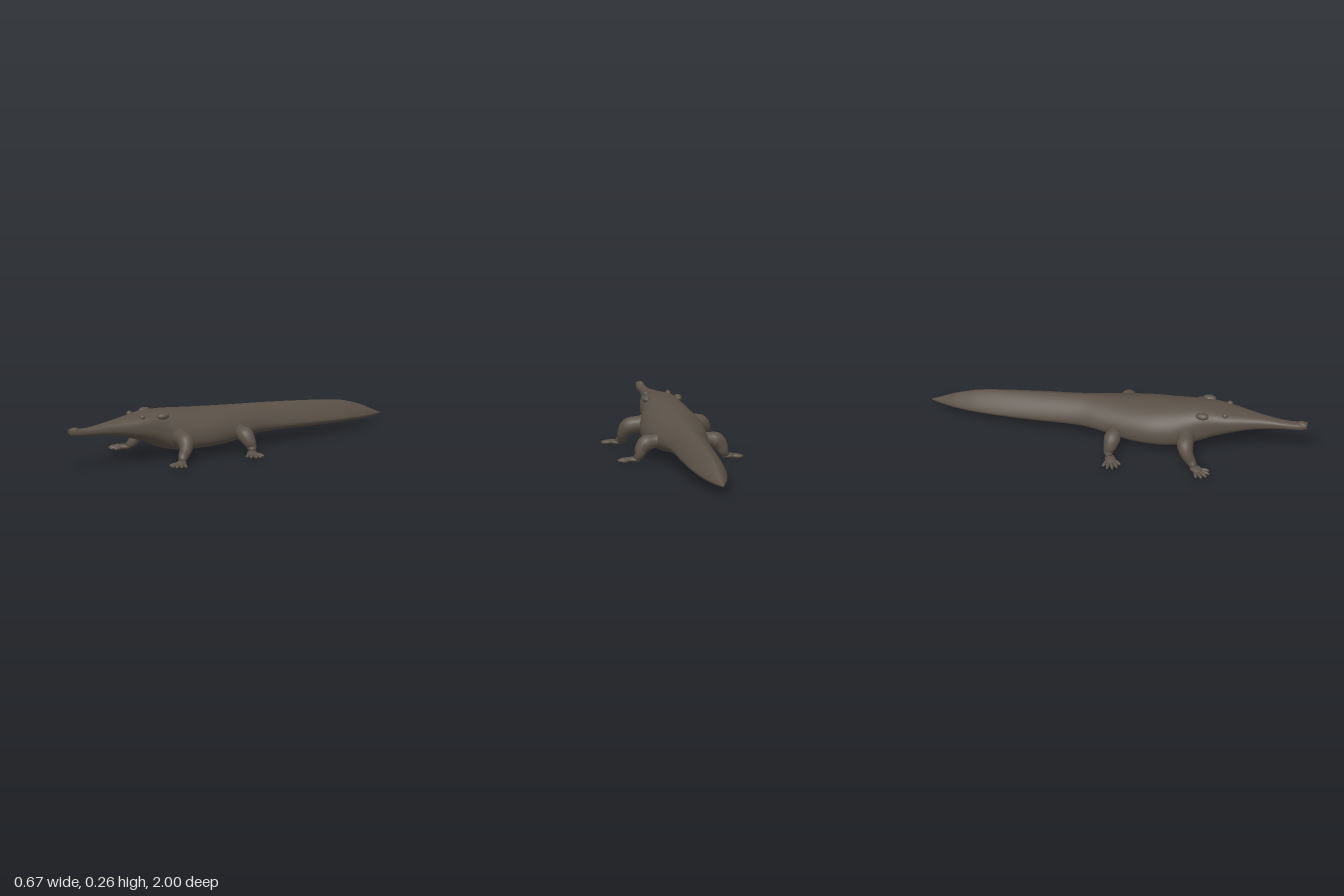
import * as THREE from 'three';

const hide = new THREE.MeshStandardMaterial({ color: 0x5a5147 });
hide.name = 'brown hide';

// Body stations: z, half width, top y, bottom y, height of widest point (0-1), upper power, lower power
const stations = [
  [1.0, 0.019, 0.232, 0.197, 0.5, 2.6, 2.4],
  [0.96, 0.024, 0.226, 0.188, 0.5, 2.6, 2.4],
  [0.88, 0.026, 0.223, 0.181, 0.5, 2.6, 2.2],
  [0.78, 0.038, 0.232, 0.169, 0.5, 2.5, 2.2],
  [0.68, 0.062, 0.242, 0.151, 0.5, 2.6, 2.2],
  [0.6, 0.085, 0.25, 0.128, 0.5, 2.8, 2.2],
  [0.52, 0.102, 0.26, 0.1, 0.46, 2.8, 2.2],
  [0.45, 0.112, 0.262, 0.068, 0.42, 2.5, 2.3],
  [0.38, 0.132, 0.259, 0.046, 0.4, 2.2, 2.6],
  [0.3, 0.153, 0.252, 0.04, 0.38, 1.9, 2.8],
  [0.2, 0.162, 0.241, 0.038, 0.38, 1.9, 2.8],
  [0.1, 0.155, 0.232, 0.038, 0.38, 1.9, 2.8],
  [0.0, 0.139, 0.224, 0.044, 0.38, 1.8, 2.6],
  [-0.1, 0.12, 0.217, 0.056, 0.36, 1.7, 2.4],
  [-0.2, 0.102, 0.21, 0.06, 0.32, 1.6, 2.4],
  [-0.4, 0.097, 0.192, 0.053, 0.28, 1.5, 2.3],
  [-0.6, 0.09, 0.171, 0.046, 0.26, 1.4, 2.2],
  [-0.75, 0.075, 0.149, 0.04, 0.26, 1.35, 2.1],
  [-0.87, 0.049, 0.111, 0.036, 0.3, 1.4, 2.0],
  [-0.95, 0.022, 0.073, 0.039, 0.4, 1.6, 2.0],
  [-1.0, 0.002, 0.051, 0.047, 0.5, 2.0, 2.0],
];

// Closed surface through equal rings of points, capped at both ends
function skin(rings) {
  const n = rings[0].length, pos = [], idx = [];
  rings.forEach(r => r.forEach(p => pos.push(p.x, p.y, p.z)));
  for (let i = 0; i < rings.length - 1; i++) {
    for (let j = 0; j < n; j++) {
      const a = i * n + j, b = i * n + (j + 1) % n;
      idx.push(a, b, a + n, b, b + n, a + n);
    }
  }
  [0, rings.length - 1].forEach((i, end) => {
    const c = rings[i].reduce((s, p) => s.add(p), new THREE.Vector3()).divideScalar(n);
    const k = pos.length / 3;
    pos.push(c.x, c.y, c.z);
    for (let j = 0; j < n; j++) {
      const a = i * n + j, b = i * n + (j + 1) % n;
      idx.push(...(end ? [k, a, b] : [k, b, a]));
    }
  });
  const g = new THREE.BufferGeometry();
  g.setAttribute('position', new THREE.Float32BufferAttribute(pos, 3));
  g.setIndex(idx);
  g.computeVertexNormals();
  return g;
}

// Smooth blend between stations
function stationAt(i, t) {
  const last = stations.length - 1;
  const slope = (k, c) => {
    const a = stations[Math.max(k - 1, 0)], b = stations[Math.min(k + 1, last)];
    return (b[c] - a[c]) / (b[0] - a[0]);
  };
  const p = stations[i], q = stations[i + 1], h = q[0] - p[0];
  return p.map((v, c) => c === 0 ? v + h * t :
    v * (2 * t ** 3 - 3 * t * t + 1) + q[c] * (3 * t * t - 2 * t ** 3) +
    h * (slope(i, c) * (t ** 3 - 2 * t * t + t) + slope(i + 1, c) * (t ** 3 - t * t)));
}

function bodyRing([z, w, top, bottom, mid, up, low]) {
  const y0 = bottom + (top - bottom) * mid, ring = [];
  for (let j = 0; j < 48; j++) {
    const a = j / 48 * Math.PI * 2, c = Math.cos(a), s = Math.sin(a);
    const e = 2 / (s >= 0 ? up : low);
    const x = Math.sign(c) * Math.abs(c) ** e * w;
    const y = y0 + Math.sign(s) * Math.abs(s) ** e * (s >= 0 ? top - y0 : y0 - bottom);
    ring.push(new THREE.Vector3(x, y, z));
  }
  return ring.reverse();
}

function bodyGeometry() {
  const rings = [];
  for (let i = 0; i < stations.length - 1; i++) {
    for (let k = 0; k < 5; k++) rings.push(bodyRing(stationAt(i, k / 5)));
  }
  rings.push(bodyRing(stations[stations.length - 1]));
  return skin(rings);
}

// Tapered limb: points are x, y, z, radius
function limbGeometry(points, steps = 28, sides = 18) {
  const curve = new THREE.CatmullRomCurve3(points.map(p => new THREE.Vector3(p[0], p[1], p[2])));
  const radii = new THREE.CatmullRomCurve3(points.map((p, i) => new THREE.Vector3(p[3], i, 0)));
  const frames = curve.computeFrenetFrames(steps);
  const rings = [];
  for (let i = 0; i <= steps; i++) {
    const u = i / steps, c = curve.getPointAt(u);
    const r = radii.getPoint(curve.getUtoTmapping(u)).x;
    const ring = [];
    for (let j = 0; j < sides; j++) {
      const a = j / sides * Math.PI * 2;
      ring.push(c.clone().addScaledVector(frames.normals[i], Math.cos(a) * r)
        .addScaledVector(frames.binormals[i], Math.sin(a) * r));
    }
    rings.push(ring);
  }
  return skin(rings);
}

function add(parent, name, geometry) {
  const mesh = new THREE.Mesh(geometry, hide);
  mesh.name = name;
  parent.add(mesh);
  return mesh;
}

function blob(parent, name, p, s, yaw = 0, pitch = 0) {
  const mesh = add(parent, name, new THREE.SphereGeometry(1, 20, 14));
  mesh.position.set(...p);
  mesh.scale.set(...s);
  mesh.rotation.set(pitch, yaw, 0, 'YXZ');
  return mesh;
}

// Mirror a limb to the right by flipping x and the winding
function mirrored(geometry) {
  const g = geometry.clone().scale(-1, 1, 1), ix = g.index;
  for (let i = 0; i < ix.count; i += 3) {
    const b = ix.getX(i + 1);
    ix.setX(i + 1, ix.getX(i + 2));
    ix.setX(i + 2, b);
  }
  g.computeVertexNormals();
  return g;
}

// Foot: flat palm with five spread toes; yaw is the direction of the middle toe
function addFoot(parent, side, [x, y, z], yaw) {
  const foot = new THREE.Group();
  foot.name = 'foot';
  foot.position.set(side * x, y, z);
  foot.rotation.y = side * yaw;
  blob(foot, 'palm', [0, 0.002, 0.015], [0.028, 0.014, 0.04]);
  [-0.62, -0.3, 0, 0.3, 0.62].forEach((a, i) => {
    const len = [0.027, 0.034, 0.036, 0.034, 0.027][i];
    const d = 0.034 + len * 0.75;
    blob(foot, 'toe', [Math.sin(a) * d, -0.001, Math.cos(a) * d], [0.0095, 0.0095, len], a, 0.1);
  });
  parent.add(foot);
}

export function createModel() {
  const model = new THREE.Group();
  model.name = 'longSnoutedReptile';
  add(model, 'body', bodyGeometry());

  // Nostril bump on the snout tip
  blob(model, 'noseBump', [0, 0.223, 0.972], [0.019, 0.013, 0.026]);

  const foreleg = limbGeometry([
    [0.07, 0.13, 0.37, 0.055], [0.14, 0.126, 0.385, 0.044], [0.19, 0.116, 0.395, 0.043],
    [0.213, 0.083, 0.41, 0.034], [0.22, 0.048, 0.432, 0.026], [0.235, 0.026, 0.452, 0.018],
  ]);
  const hindLeg = limbGeometry([
    [0.07, 0.11, 0.0, 0.05], [0.135, 0.108, 0.003, 0.036], [0.185, 0.098, 0.005, 0.043],
    [0.212, 0.068, 0.0, 0.035], [0.224, 0.04, -0.006, 0.026], [0.24, 0.02, 0.0, 0.017],
  ]);

  for (const side of [1, -1]) {
    const label = side > 0 ? 'left' : 'right';
    const front = new THREE.Group(), hind = new THREE.Group();
    front.name = label + 'FrontLeg';
    hind.name = label + 'HindLeg';
    add(front, 'limb', side > 0 ? foreleg : mirrored(foreleg));
    add(hind, 'limb', side > 0 ? hindLeg : mirrored(hindLeg));
    addFoot(front, side, [0.24, 0.02, 0.455], 0.62);
    addFoot(hind, side, [0.24, 0.012, 0.005], 1.2);
    model.add(front, hind);

    // Eyes and the bumps at the back of the skull
    blob(model, label + 'Eye', [side * 0.058, 0.246, 0.575], [0.014, 0.015, 0.016]);
    blob(model, label + 'SkullBump', [side * 0.084, 0.242, 0.46], [0.021, 0.018, 0.035]);
  }
  return model;
}
